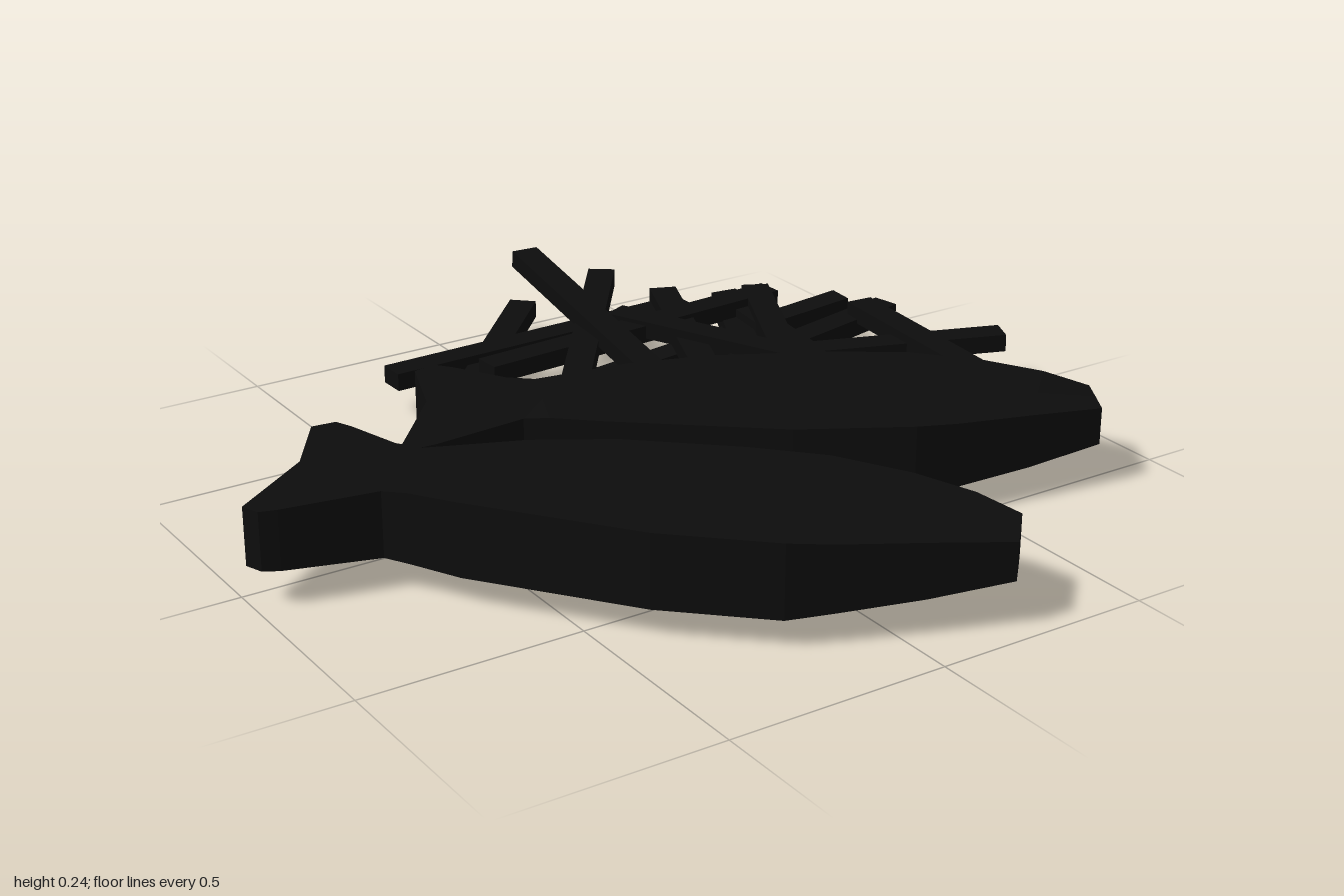
import * as THREE from 'three';

// Fish stations from tail to nose: left x,z, middle x,z, right x,z, bottom y, top y
const STATIONS = [
  [-0.71, -0.25, -0.81, -0.10, -1.0, 0.035, 0.09, 0.22],
  [-0.655, -0.245, -0.78, -0.07, -0.985, 0.075, 0.09, 0.22],
  [-0.64, -0.20, -0.75, -0.04, -0.95, 0.09, 0.088, 0.222],
  [-0.61, -0.06, -0.68, 0.04, -0.745, 0.135, 0.08, 0.228],
  [-0.58, 0.0, -0.645, 0.09, -0.71, 0.18, 0.075, 0.232],
  [-0.38, 0.09, -0.515, 0.185, -0.65, 0.28, 0.07, 0.235],
  [-0.22, 0.19, -0.39, 0.295, -0.56, 0.40, 0.07, 0.235],
  [-0.02, 0.37, -0.215, 0.485, -0.41, 0.60, 0.07, 0.235],
  [0.10, 0.50, -0.06, 0.64, -0.22, 0.78, 0.07, 0.235],
  [0.20, 0.64, 0.035, 0.73, -0.13, 0.82, 0.077, 0.225],
  [0.265, 0.76, 0.15, 0.825, 0.04, 0.89, 0.09, 0.212],
  [0.30, 0.86, 0.255, 0.908, 0.21, 0.955, 0.11, 0.195],
];

// Chips: start x,y,z then end x,y,z
const CHIPS = [
  [-0.35, 0.08, -0.34, 0.208, 0.08, -0.937],
  [-0.31, 0.10, -0.66, 0.52, 0.10, -0.68],
  [-0.10, 0.13, -0.205, 0.385, 0.157, -0.845],
  [0.155, 0.14, -0.24, 0.205, 0.223, -0.92],
  [0.03, 0.026, -0.51, 0.85, 0.115, -0.46],
  [-0.15, 0.14, -0.49, 0.69, 0.14, -0.545],
  [0.21, 0.13, -0.05, 0.48, 0.13, -0.71],
  [0.31, 0.10, 0.0, 0.62, 0.10, -0.63],
  [0.38, 0.14, 0.02, 0.67, 0.14, -0.58],
  [0.52, 0.12, 0.08, 0.61, 0.12, -0.63],
  [0.27, 0.15, -0.60, 0.63, 0.15, 0.20],
  [0.20, 0.11, -0.21, 0.92, 0.09, 0.18],
  [0.38, 0.12, -0.27, 0.99, 0.135, -0.01],
  [0.11, 0.11, -0.19, 0.905, 0.12, -0.35],
  [0.805, 0.15, -0.33, 0.755, 0.15, 0.34],
];

// Loft of six-cornered sections with closed ends
function fishGeometry() {
  const pos = [];
  const index = [];
  for (const [lx, lz, mx, mz, rx, rz, y0, y1] of STATIONS) {
    pos.push(lx, y1, lz, mx, y1, mz, rx, y1, rz);
    pos.push(rx, y0, rz, mx, y0, mz, lx, y0, lz);
  }
  const last = (STATIONS.length - 1) * 6;
  for (let s = 0; s < last; s += 6) {
    for (let j = 0; j < 6; j++) {
      const k = (j + 1) % 6;
      index.push(s + j, s + k, s + 6 + j, s + k, s + 6 + k, s + 6 + j);
    }
  }
  for (const [a, b, c, d] of [[0, 1, 4, 5], [1, 2, 3, 4]]) {
    index.push(a, c, b, a, d, c);
    index.push(last + a, last + b, last + c, last + a, last + c, last + d);
  }
  const geo = new THREE.BufferGeometry();
  geo.setAttribute('position', new THREE.Float32BufferAttribute(pos, 3));
  geo.setIndex(index);
  const flat = geo.toNonIndexed();
  flat.computeVertexNormals();
  return flat;
}

export function createModel() {
  const model = new THREE.Group();
  model.name = 'fishAndChips';
  const black = new THREE.MeshStandardMaterial({ color: 0x0d0d0d });
  black.name = 'black';

  // Two identical fish, the second turned and shifted
  const geo = fishGeometry();
  const fishRight = new THREE.Mesh(geo, black);
  fishRight.name = 'fishRight';
  const fishLeft = new THREE.Mesh(geo, black);
  fishLeft.name = 'fishLeft';
  fishLeft.rotation.y = 0.237;
  fishLeft.position.set(0.373, -0.003, -0.337);
  model.add(fishRight, fishLeft);

  // Pile of chips
  const chips = new THREE.Group();
  chips.name = 'chips';
  for (const [x0, y0, z0, x1, y1, z1] of CHIPS) {
    const a = new THREE.Vector3(x0, y0, z0);
    const b = new THREE.Vector3(x1, y1, z1);
    const chip = new THREE.Mesh(new THREE.BoxGeometry(0.066, 0.042, a.distanceTo(b)), black);
    chip.name = 'chip';
    chip.position.copy(a).lerp(b, 0.5);
    chip.lookAt(b);
    chips.add(chip);
  }
  model.add(chips);
  return model;
}
